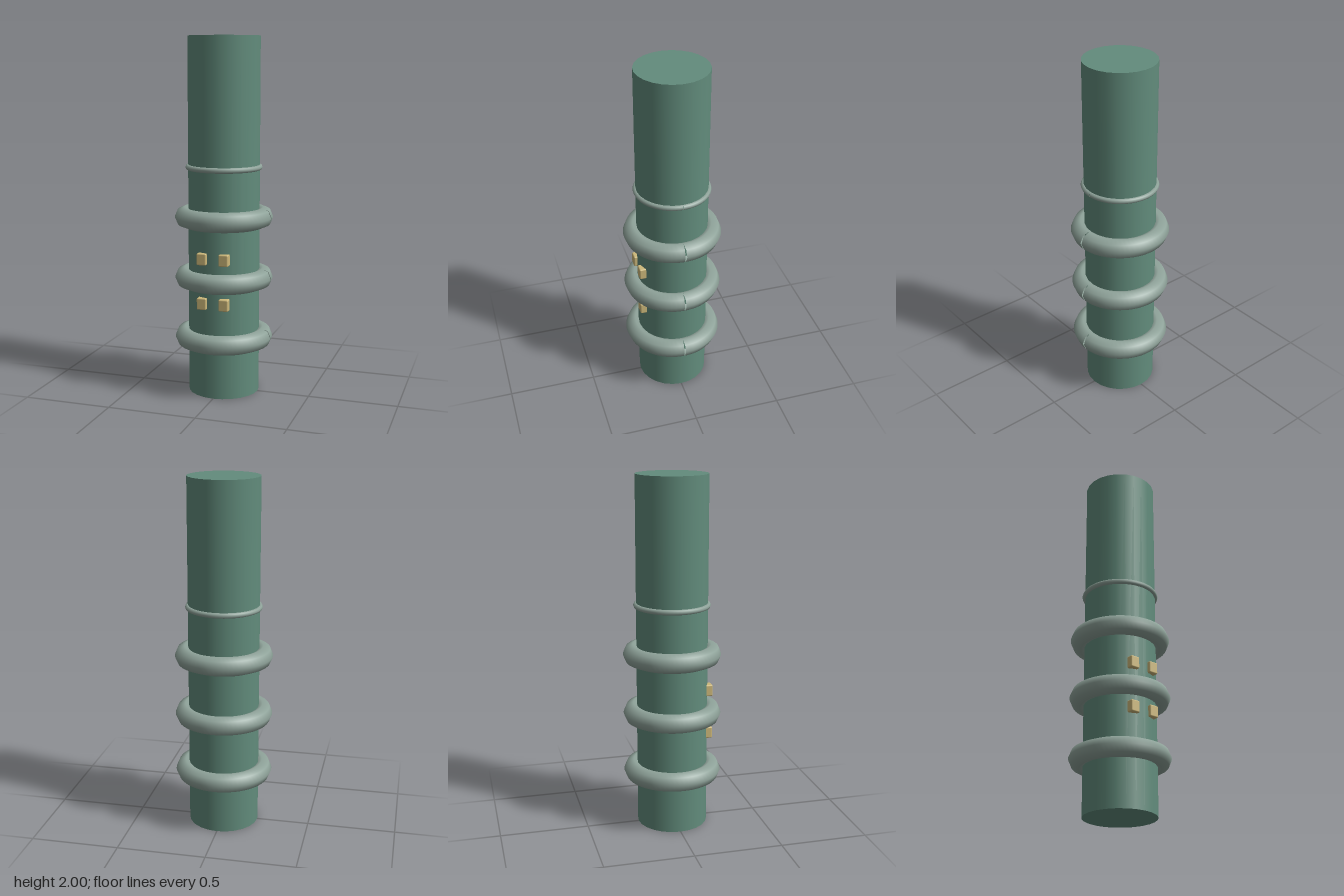
import * as THREE from 'three';
import { RoundedBoxGeometry } from 'three/addons/geometries/RoundedBoxGeometry.js';

const material = (name, color, side = THREE.FrontSide) => {
  const m = new THREE.MeshStandardMaterial({ color, side });
  m.name = name;
  return m;
};

export function createModel() {
  const model = new THREE.Group();
  model.name = 'ringedColumn';
  const green = material('column green', 0x628c7c);
  const grey = material('ring grey', 0x8fa39a, THREE.DoubleSide);
  const gold = material('window gold', 0xcdb87a);

  const add = (name, geometry, mat, x, y, z) => {
    const mesh = new THREE.Mesh(geometry, mat);
    mesh.name = name;
    mesh.position.set(x, y, z);
    model.add(mesh);
  };

  // Main column
  add('column', new THREE.CylinderGeometry(0.2, 0.2, 2, 24), green, 0, 1, 0);

  // Hoops: open tubes whose ends meet in a narrow seam at +x
  const hoop = (radius, tube) => {
    const points = [];
    for (let i = 0; i <= 36; i++) {
      const a = (i / 36) * Math.PI * 2;
      points.push(new THREE.Vector3(Math.cos(a) * radius, 0, Math.sin(a) * radius));
    }
    return new THREE.TubeGeometry(new THREE.CatmullRomCurve3(points), 64, tube, 8, false);
  };
  for (const y of [0.316, 0.66, 1.004]) add('thickRing', hoop(0.22, 0.056), grey, 0, y, 0);
  add('thinRing', hoop(0.2, 0.015), grey, 0, 1.283, 0);

  // Two rows of small windows on the front
  for (const y of [0.543, 0.794]) {
    for (const x of [-0.063, 0.063]) {
      add('window', new RoundedBoxGeometry(0.055, 0.066, 0.045, 2, 0.007), gold, x, y, 0.192);
    }
  }
  return model;
}
